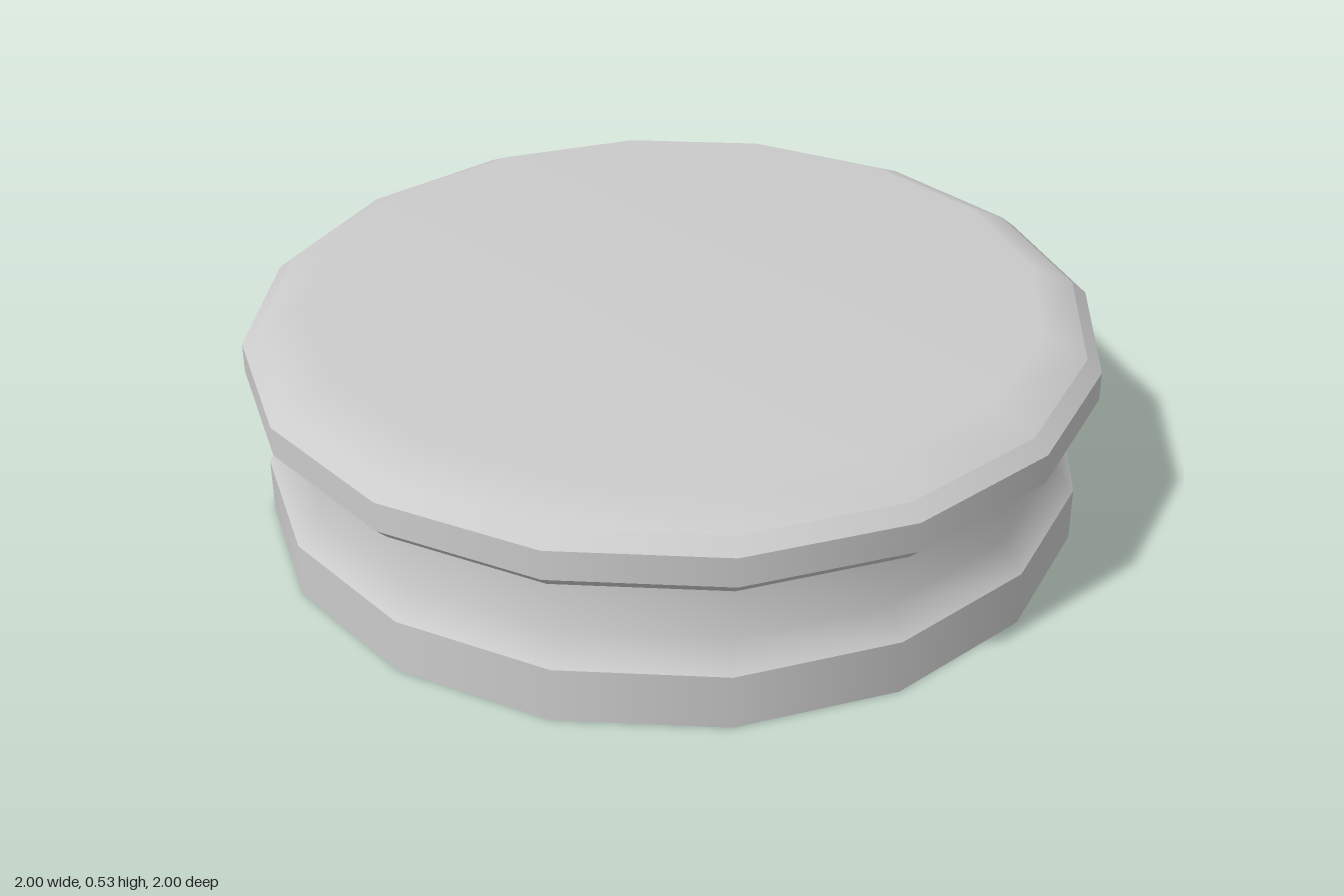
import * as THREE from 'three';

const SIDES = 16;

// Profiles as [radius, height], bottom to top; each is one smooth band,
// and the joins between bands stay sharp.
const bands = {
  rim: [[0.965, 0], [0.965, 0.13]],
  neck: [[0.965, 0.13], [0.91, 0.19], [0.91, 0.35]],
  flangeUnderside: [[0.91, 0.35], [0.97, 0.35]],
  flangeLowerBevel: [[0.97, 0.35], [1, 0.38]],
  flangeEdge: [[1, 0.38], [1, 0.45]],
  lidBevel: [[1, 0.45], [0.965, 0.48]],
  lidTop: [[0.965, 0.48], [0.86, 0.53], [0, 0.53]],
};

export function createModel() {
  const model = new THREE.Group();
  model.name = 'roundLid';
  // Thin shell, open underneath
  const material = new THREE.MeshStandardMaterial({ color: 0xcccccc, side: THREE.DoubleSide });
  for (const [name, profile] of Object.entries(bands)) {
    const points = profile.map(([r, y]) => new THREE.Vector2(r, y));
    const mesh = new THREE.Mesh(new THREE.LatheGeometry(points, SIDES), material);
    mesh.name = name;
    model.add(mesh);
  }
  return model;
}
